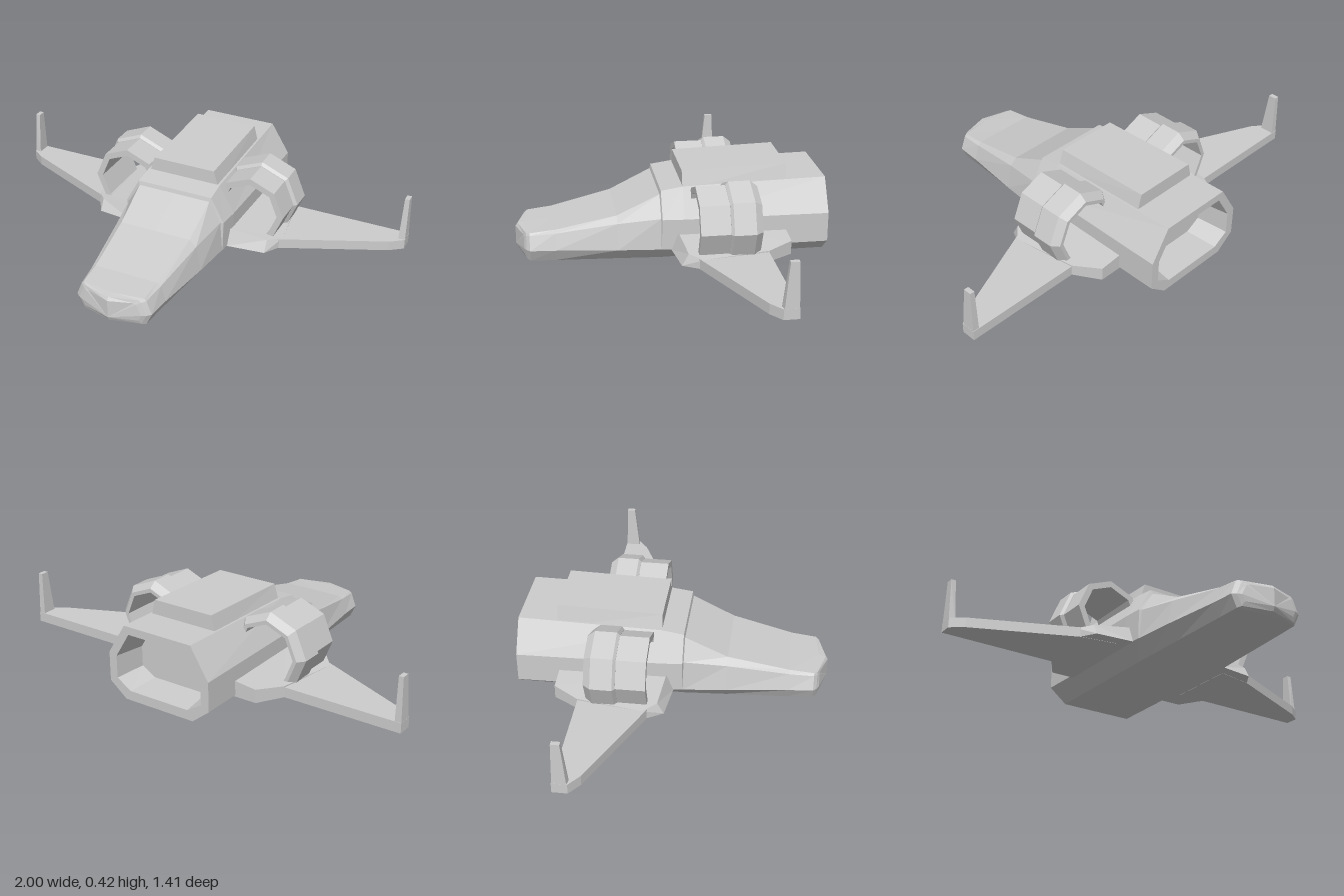
import * as THREE from 'three';

// Skin equal-length rings of points into a closed solid; faces are turned outward by signed volume.
function loft(rings) {
  const n = rings[0].length, tris = [];
  const quad = (a, b, c, d) => tris.push([a, b, c], [a, c, d]);
  for (let i = 0; i < rings.length - 1; i++)
    for (let j = 0; j < n; j++) {
      const k = (j + 1) % n;
      quad(rings[i][j], rings[i][k], rings[i + 1][k], rings[i + 1][j]);
    }
  const first = rings[0], last = rings[rings.length - 1];
  for (let j = 1; j < n - 1; j++) {
    tris.push([first[0], first[j + 1], first[j]]);
    tris.push([last[0], last[j], last[j + 1]]);
  }
  let volume = 0;
  const v = tris.map(t => t.map(p => new THREE.Vector3(...p)));
  for (const [a, b, c] of v) volume += a.dot(b.clone().cross(c));
  const out = [];
  for (const t of v) for (const p of volume < 0 ? [t[0], t[2], t[1]] : t) out.push(p.x, p.y, p.z);
  const g = new THREE.BufferGeometry();
  g.setAttribute('position', new THREE.Float32BufferAttribute(out, 3));
  g.computeVertexNormals();
  return g;
}

// Symmetric hull section: half outline [x, y] from bottom to top, plus centre points pushed forward by bulge.
function section(z, half, bulge = 0) {
  const right = half.map(([x, y]) => [x, y, z]);
  const left = half.map(([x, y]) => [-x, y, z]).reverse();
  return [[0, half[0][1], z + bulge], ...right, [0, half[half.length - 1][1], z + bulge], ...left];
}

export function createModel() {
  const model = new THREE.Group();
  model.name = 'spacecraft';
  const hullGrey = new THREE.MeshStandardMaterial({ color: 0xcccccc, flatShading: true });
  hullGrey.name = 'hull grey';
  const add = (name, geometry) => {
    const mesh = new THREE.Mesh(geometry, hullGrey);
    mesh.name = name;
    model.add(mesh);
  };

  // Fuselage from nose to tail, folding into the hollow exhaust
  add('fuselage', loft([
    section(0.67, [[0.13, 0.035], [0.145, 0.065], [0.12, 0.115], [0.11, 0.12]], 0.035),
    section(0.66, [[0.14, 0.015], [0.165, 0.065], [0.14, 0.125], [0.13, 0.135]], 0.035),
    section(0.645, [[0.155, 0.008], [0.183, 0.066], [0.158, 0.13], [0.148, 0.14]], 0.02),
    section(0.53, [[0.16, 0.006], [0.192, 0.066], [0.17, 0.14], [0.152, 0.152]]),
    section(0.25, [[0.172, 0.003], [0.228, 0.066], [0.205, 0.185], [0.172, 0.214]]),
    section(0.055, [[0.18, 0], [0.247, 0.066], [0.235, 0.21], [0.178, 0.308]]),
    section(0.05, [[0.18, 0], [0.249, 0.066], [0.249, 0.21], [0.185, 0.327]]),
    section(-0.05, [[0.181, 0.002], [0.256, 0.067], [0.256, 0.21], [0.183, 0.342]]),
    section(-0.71, [[0.182, 0.005], [0.268, 0.073], [0.268, 0.21], [0.178, 0.355]]),
    section(-0.71, [[0.155, 0.05], [0.228, 0.095], [0.228, 0.2], [0.155, 0.318]]),
    section(-0.56, [[0.14, 0.06], [0.21, 0.1], [0.21, 0.195], [0.145, 0.305]])
  ]));

  // Raised roof block
  add('roof', loft([
    [[-0.178, 0.32, -0.05], [0.178, 0.32, -0.05], [0.152, 0.407, -0.05], [-0.152, 0.407, -0.05]],
    [[-0.178, 0.32, -0.53], [0.178, 0.32, -0.53], [0.152, 0.42, -0.53], [-0.152, 0.42, -0.53]]
  ]));

  for (const [side, s] of [['left', 1], ['right', -1]]) {
    const solid = (name, rings) =>
      add(side + name, loft(rings.map(r => r.map(([x, y, z]) => [s * x, y, z]))));

    // Wing root plate, sloping down away from the hull
    const root = [[0.2, 0.01], [0.25, 0.01], [0.43, -0.01], [0.485, -0.1], [0.44, -0.4], [0.37, -0.515], [0.2, -0.515]];
    solid('WingRoot', [
      root.map(([x, z]) => [x, 0.064, z]),
      root.map(([x, z]) => [x, 0.145 - Math.max(0, x - 0.25) * 0.15, z - (z > -0.05 ? 0.03 : 0)])
    ]);

    // Swept outer wing
    const wing = [[0.3, -0.05], [0.47, -0.08], [0.94, -0.285], [1, -0.33], [1, -0.398], [0.3, -0.398]];
    solid('Wing', [wing.map(([x, z]) => [x, 0.063, z]), wing.map(([x, z]) => [x, 0.11, z])]);

    // Upright wing tip fin
    solid('WingFin', [
      [[0.968, 0.07, -0.325], [1, 0.07, -0.33], [1, 0.07, -0.397], [0.968, 0.07, -0.397]],
      [[0.974, 0.312, -0.352], [0.996, 0.312, -0.352], [0.996, 0.312, -0.39], [0.974, 0.312, -0.39]]
    ]);

    // Open octagonal engine collars, each a [radius, z] profile swept from wing to hull
    const collar = (name, profile) => solid(name, [-55, -45, 0, 45, 90, 135, 180].map(deg => {
      const a = deg * Math.PI / 180;
      return profile.map(([r, z]) => [0.318 + r * Math.cos(a), 0.222 + r * Math.sin(a), z]);
    }));
    collar('EngineFrontCollar', [[0.137, -0.085], [0.168, -0.085], [0.168, -0.23], [0.137, -0.23]]);
    collar('EngineRearCollar', [[0.137, -0.218], [0.17, -0.218], [0.184, -0.23], [0.184, -0.328], [0.156, -0.362], [0.137, -0.362]]);
  }
  return model;
}
